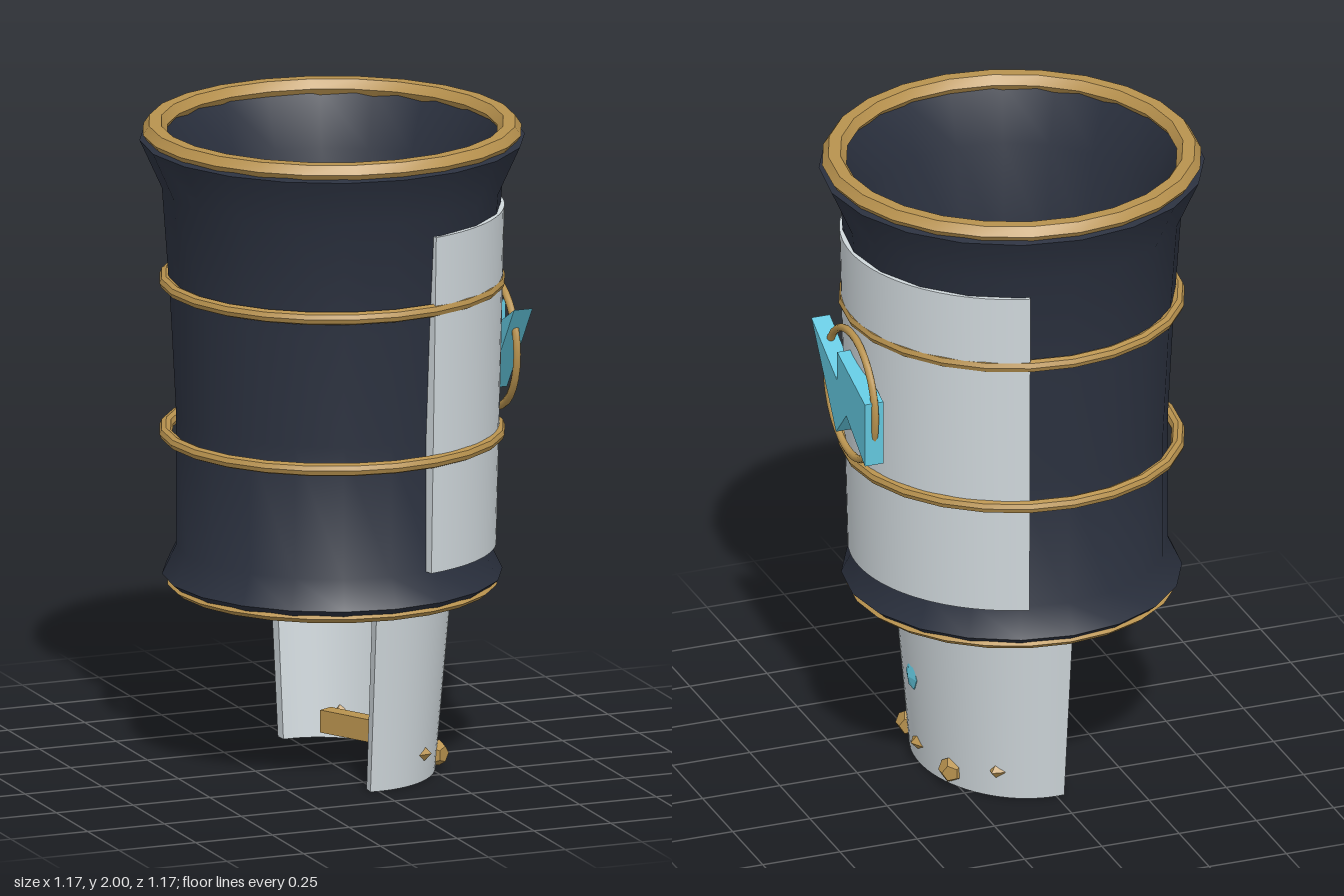
import * as THREE from 'three';
import { toCreasedNormals } from 'three/addons/utils/BufferGeometryUtils.js';

const mat = (color, flatShading = false) => new THREE.MeshStandardMaterial({ color, flatShading });

export function createModel() {
  const group = new THREE.Group();
  const navy = mat(0x2b313f);
  const gold = mat(0xb8924e);
  const goldFlat = mat(0xb8924e, true);
  const plate = mat(0xd0d8dc);
  const cyan = mat(0x62c6dd, true);

  const add = (name, geometry, material, x = 0, y = 0, z = 0) => {
    const mesh = new THREE.Mesh(geometry, material);
    mesh.name = name;
    mesh.position.set(x, y, z);
    group.add(mesh);
    return mesh;
  };

  // Curved shell facing +x: an annular sector extruded upward and tapered to the foot
  const shell = (outer, inner, halfAngle, height, footScale) => {
    const s = new THREE.Shape();
    s.absarc(0, 0, outer, -halfAngle, halfAngle, false);
    s.absarc(0, 0, inner, halfAngle, -halfAngle, true);
    s.closePath();
    const g = new THREE.ExtrudeGeometry(s, { depth: height, bevelEnabled: false, curveSegments: 20 });
    g.rotateX(-Math.PI / 2);
    const p = g.attributes.position;
    for (let i = 0; i < p.count; i++) {
      const k = THREE.MathUtils.lerp(footScale, 1, p.getY(i) / height);
      p.setX(i, p.getX(i) * k);
      p.setZ(i, p.getZ(i) * k);
    }
    return toCreasedNormals(g, 0.5);
  };

  // Flared sleeve with an outer and an inner wall
  const profile = [
    [0.48, 0.57], [0.515, 0.6], [0.472, 0.69], [0.472, 1.1], [0.49, 1.45], [0.515, 1.8], [0.583, 1.95],
    [0.52, 1.97], [0.455, 1.8], [0.43, 1.45], [0.412, 1.1], [0.412, 0.7], [0.45, 0.58], [0.48, 0.57],
  ].map(([r, y]) => new THREE.Vector2(r, y));
  add('sleeve', toCreasedNormals(new THREE.LatheGeometry(profile, 20), 0.7), navy);

  // Gold rims and bands
  const ring = (name, y, radius, tube, squash, sides) => {
    const g = new THREE.TorusGeometry(radius, tube, sides, 24).rotateX(Math.PI / 2);
    g.scale(1, squash, 1);
    add(name, toCreasedNormals(g, 0.6), gold, 0, y, 0);
  };
  ring('topRim', 1.972, 0.538, 0.037, 0.85, 6);
  ring('bottomRim', 0.573, 0.465, 0.036, 0.5, 6);
  ring('upperBand', 1.51, 0.505, 0.02, 1, 8);
  ring('lowerBand', 1.04, 0.505, 0.02, 1, 8);

  // Forearm plate
  add('armPlate', shell(0.52, 0.475, THREE.MathUtils.degToRad(75), 1.05, 0.953), plate, 0, 0.69, 0);

  // Hand guard, flattened front to back
  const guard = shell(0.435, 0.39, THREE.MathUtils.degToRad(95), 0.6, 0.855);
  guard.scale(0.805, 1, 1);
  add('handGuard', toCreasedNormals(guard, 0.5), plate);

  // Emblem ring and bolt
  add('emblemRing', new THREE.TorusGeometry(0.202, 0.012, 8, 32).rotateY(Math.PI / 2), gold, 0.52, 1.27, 0);
  const bolt = new THREE.Shape([
    [-0.245, 1.42], [-0.04, 1.13], [0.045, 1.22], [0.2, 1.12], [0.2, 1.325], [-0.03, 1.4], [-0.03, 1.305],
  ].map(([u, y]) => new THREE.Vector2(u, y)));
  const boltGeometry = new THREE.ExtrudeGeometry(bolt, { depth: 0.06, bevelEnabled: false });
  add('boltEmblem', boltGeometry.rotateY(Math.PI / 2), cyan, 0.493, 0, 0);

  // Gem, its point passing through the guard
  add('gem', new THREE.ConeGeometry(0.044, 0.08, 6).rotateZ(Math.PI / 2), cyan, 0.285, 0.295, 0);
  add('gemCrown', new THREE.ConeGeometry(0.044, 0.012, 6).rotateZ(-Math.PI / 2), cyan, 0.331, 0.295, 0);

  // Knuckle studs and inner grip bars
  const centre = new THREE.OctahedronGeometry(1).scale(0.045, 0.045, 0.08);
  add('centreStud', centre, goldFlat, 0.282, 0.07, 0);
  for (const side of [-1, 1]) {
    add('roundStud', new THREE.DodecahedronGeometry(0.042), goldFlat, 0.262, 0.05, side * 0.178);
    add('spikeStud', new THREE.OctahedronGeometry(0.036), goldFlat, 0.162, 0.088, side * 0.305)
      .rotation.y = -side * 0.6;
    add('gripBar', new THREE.BoxGeometry(0.05, 0.07, 0.32), goldFlat, 0.168, 0.062, side * 0.14)
      .rotation.y = Math.atan2(-0.15 * side, 0.28);
  }
  return group;
}
